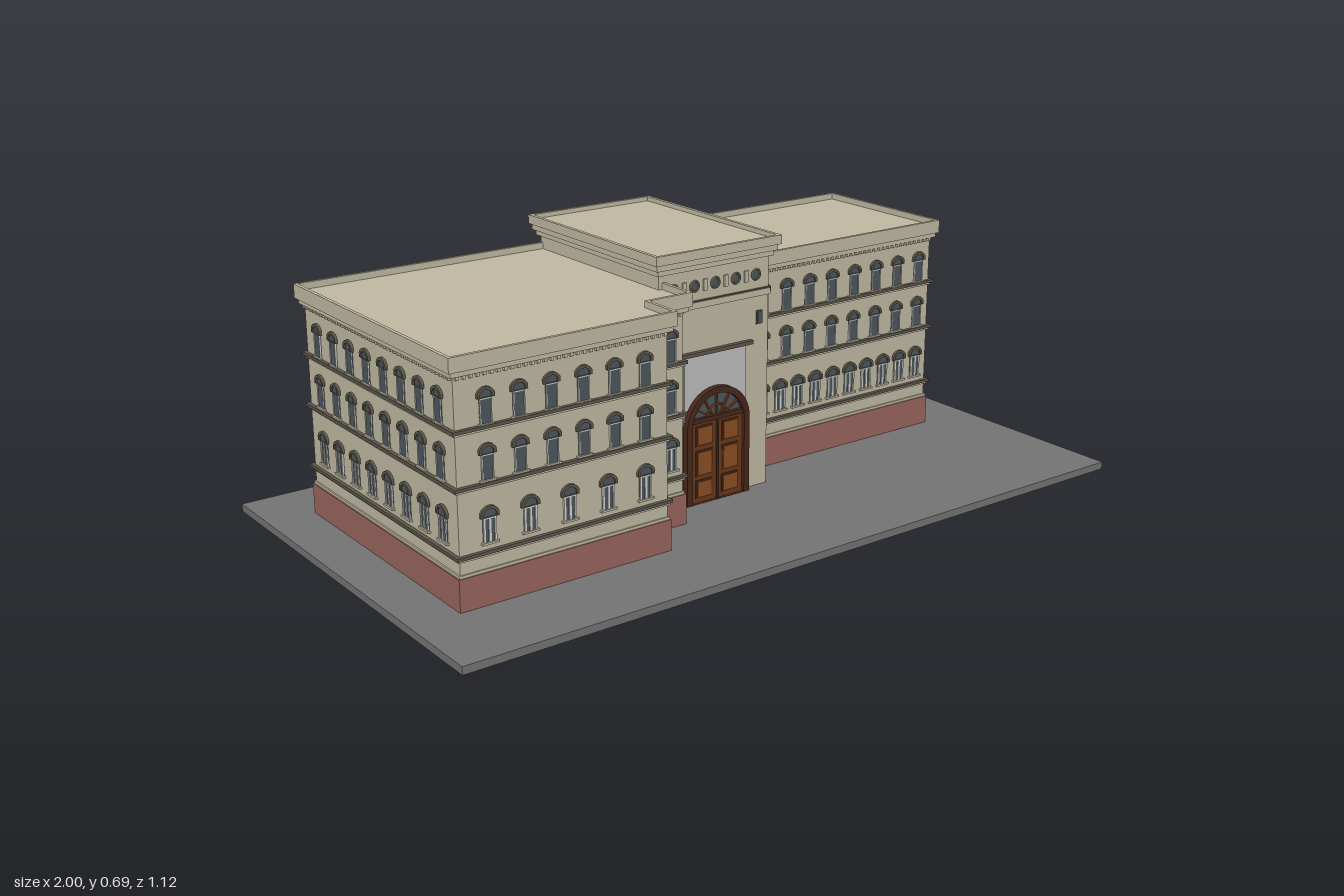
import * as THREE from 'three';
import { mergeGeometries } from 'three/addons/utils/BufferGeometryUtils.js';

const mat = (name, color) => Object.assign(new THREE.MeshStandardMaterial({ color }), { name });

export function createModel() {
  const M = {
    stone: mat('stone', 0xbfb7a0), brick: mat('base red', 0x96655c), paving: mat('paving', 0x737373),
    trim: mat('dark trim', 0x5c564a), glass: mat('window glass', 0x4b565c), frame: mat('window frame', 0xd0d0cc),
    panel: mat('pale panel', 0xbcbcbc), wood: mat('door wood', 0x6a3818), woodLight: mat('door panel', 0x8a4d24),
    woodDark: mat('door frame', 0x482719),
  };
  const root = new THREE.Group();
  root.name = 'building';

  const add = (parent, name, geo, material, x = 0, y = 0, z = 0) => {
    const m = new THREE.Mesh(geo, material);
    m.name = name;
    m.position.set(x, y, z);
    parent.add(m);
    return m;
  };
  const box = (parent, name, material, w, h, d, x, y, z) =>
    add(parent, name, new THREE.BoxGeometry(w, h, d), material, x, y, z);
  const extrude = (shape, depth, curveSegments = 8) =>
    new THREE.ExtrudeGeometry(shape, { depth, bevelEnabled: false, curveSegments });

  // Outward offset of a right-angled footprint, listed front-left to front-right and round
  const edgeNormal = (a, b) => {
    const l = Math.hypot(b[0] - a[0], b[1] - a[1]);
    return [-(b[1] - a[1]) / l, (b[0] - a[0]) / l];
  };
  const offset = (poly, d) => poly.map((p, i) => {
    const n = poly.length;
    const u = edgeNormal(poly[(i + n - 1) % n], p), v = edgeNormal(p, poly[(i + 1) % n]);
    return [p[0] + (u[0] + v[0]) * d, p[1] + (u[1] + v[1]) * d];
  });
  const points = (poly) => poly.map(([x, z]) => new THREE.Vector2(x, -z));
  const slab = (parent, name, material, poly, out, y0, y1, inner = null) => {
    const s = new THREE.Shape(points(offset(poly, out)));
    if (inner !== null) s.holes.push(new THREE.Path(points(offset(poly, inner))));
    return add(parent, name, extrude(s, y1 - y0).rotateX(-Math.PI / 2), material, 0, y0, 0);
  };

  // Upright shape with a round or segmental arched top, standing on y = 0
  const arch = (w, h, rise, y0 = 0, Kind = THREE.Shape) => {
    const r = (w * w / 4 + rise * rise) / (2 * rise), cy = h - r;
    const a = Math.atan2(h - rise - cy, w / 2);
    const s = new Kind();
    s.moveTo(-w / 2, y0);
    s.lineTo(w / 2, y0);
    s.lineTo(w / 2, h - rise);
    s.absarc(0, cy, r, a, Math.PI - a, false);
    s.lineTo(-w / 2, y0);
    return s;
  };

  // Window geometries shared by every opening
  const hood = (w, h, rise) => {
    const s = arch(w + 0.014, h + 0.007, rise + 0.004, h - rise - 0.008);
    s.holes.push(arch(w, h, rise, h - rise - 0.0075, THREE.Path));
    return extrude(s, 0.007);
  };
  const bar = (w, h, x, y) => new THREE.BoxGeometry(w, h, 0.005).translate(x, y, 0.0025);
  const kinds = {
    upper: {
      glass: extrude(arch(0.03, 0.078, 0.01), 0.003), hood: hood(0.03, 0.078, 0.01),
      frame: mergeGeometries([bar(0.03, 0.003, 0, 0.058), bar(0.002, 0.058, -0.014, 0.029), bar(0.002, 0.058, 0.014, 0.029)]),
      sill: new THREE.BoxGeometry(0.042, 0.004, 0.01),
    },
    lower: {
      glass: extrude(arch(0.034, 0.08, 0.012), 0.003), hood: hood(0.034, 0.08, 0.012),
      frame: mergeGeometries([bar(0.034, 0.004, 0, 0.058), bar(0.005, 0.058, -0.0145, 0.029),
        bar(0.005, 0.058, 0.0145, 0.029), bar(0.006, 0.058, 0, 0.029)]),
      sill: new THREE.BoxGeometry(0.044, 0.005, 0.01),
    },
  };
  const windowAt = (parent, kind, x, y, z, angle) => {
    const g = new THREE.Group(), k = kinds[kind];
    g.name = kind + 'Window';
    add(g, 'glass', k.glass, M.glass);
    add(g, 'frame', k.frame, M.frame);
    add(g, 'hood', k.hood, M.trim);
    add(g, 'sill', k.sill, M.stone, 0, -0.002, 0.003);
    g.position.set(x, y, z);
    g.rotation.y = angle;
    parent.add(g);
  };
  // Three storeys of windows between two wall points
  const windows = (parent, a, b, nUpper, nLower, angle) => {
    for (const [kind, y, n] of [['lower', 0.17, nLower], ['upper', 0.319, nUpper], ['upper', 0.449, nUpper]])
      for (let i = 0; i < n; i++) {
        const t = n > 1 ? i / (n - 1) : 0.5;
        windowAt(parent, kind, a[0] + (b[0] - a[0]) * t, y, a[1] + (b[1] - a[1]) * t, angle);
      }
  };

  // Small blocks under the cornice, all round a footprint
  const dentils = (parent, poly, y) => {
    const list = [];
    poly.forEach((a, i) => {
      const b = poly[(i + 1) % poly.length], nrm = edgeNormal(a, b);
      const len = Math.hypot(b[0] - a[0], b[1] - a[1]), n = Math.round(len / 0.017);
      for (let k = 0; k < n; k++) {
        const t = (k + 0.5) / n;
        list.push(new THREE.BoxGeometry(0.008, 0.01, 0.008).translate(
          a[0] + (b[0] - a[0]) * t + nrm[0] * 0.004, y, a[1] + (b[1] - a[1]) * t + nrm[1] * 0.004));
      }
    });
    add(parent, 'dentils', mergeGeometries(list), M.stone);
  };

  const wing = (name, poly) => {
    const g = new THREE.Group();
    g.name = name;
    root.add(g);
    slab(g, 'walls', M.stone, poly, 0, 0.02, 0.57);
    slab(g, 'base', M.brick, poly, 0.007, 0.02, 0.1);
    slab(g, 'baseCap', M.stone, poly, 0.004, 0.1, 0.107);
    for (const y of [0.148, 0.31, 0.443]) {
      slab(g, 'ledge', M.trim, poly, 0.01, y - 0.004, y + 0.004);
      slab(g, 'ledgeMoulding', M.stone, poly, 0.005, y - 0.01, y - 0.004);
    }
    dentils(g, poly, 0.566);
    slab(g, 'corniceLower', M.stone, poly, 0.011, 0.57, 0.583);
    slab(g, 'cornice', M.stone, poly, 0.018, 0.583, 0.602);
    slab(g, 'parapet', M.stone, poly, 0.018, 0.602, 0.619, 0.009);
    return g;
  };

  // Ground
  box(root, 'ground', M.paving, 2, 0.02, 1.12, 0, 0.01, 0);

  // Model's left wing
  const PI = Math.PI;
  const east = wing('leftWing', [[0.165, 0.027], [0.837, 0.027], [0.837, -0.389], [0.165, -0.389]]);
  windows(east, [0.235, 0.027], [0.795, 0.027], 8, 10, 0);
  windows(east, [0.235, -0.389], [0.795, -0.389], 8, 10, PI);
  windows(east, [0.837, -0.063], [0.837, -0.298], 4, 4, PI / 2);

  // Model's right wing, stepped at the front
  const west = wing('rightWing',
    [[-0.868, 0.33], [-0.3, 0.33], [-0.3, 0.22], [-0.173, 0.22], [-0.173, -0.389], [-0.868, -0.389]]);
  windows(west, [-0.79, 0.33], [-0.365, 0.33], 6, 5, 0);
  windows(west, [-0.26, 0.22], [-0.21, 0.22], 2, 2, 0);
  windows(west, [-0.3, 0.277], [-0.3, 0.277], 1, 1, PI / 2);
  windows(west, [-0.173, 0.173], [-0.173, 0.173], 1, 1, PI / 2);
  windows(west, [-0.8, -0.389], [-0.25, -0.389], 7, 5, PI);
  windows(west, [-0.868, -0.325], [-0.868, 0.265], 8, 8, -PI / 2);

  // Central tower
  const tower = new THREE.Group();
  tower.name = 'tower';
  root.add(tower);
  const tp = [[-0.174, 0.125], [0.172, 0.125], [0.172, -0.408], [-0.174, -0.408]];
  slab(tower, 'towerWalls', M.stone, tp, 0, 0.02, 0.65);
  slab(tower, 'towerCorniceLower', M.stone, tp, 0.009, 0.638, 0.652);
  slab(tower, 'towerCorniceMiddle', M.stone, tp, 0.016, 0.652, 0.668);
  slab(tower, 'towerCornice', M.stone, tp, 0.023, 0.668, 0.68);
  slab(tower, 'towerParapet', M.stone, tp, 0.023, 0.68, 0.692, 0.013);
  box(tower, 'friezeBand', M.stone, 0.35, 0.016, 0.012, -0.001, 0.545, 0.125);
  box(tower, 'friezeBandCap', M.trim, 0.35, 0.004, 0.014, -0.001, 0.555, 0.125);
  for (let i = -2; i <= 2; i++) {
    add(tower, 'roundel', new THREE.TorusGeometry(0.013, 0.003, 6, 20), M.trim, i * 0.065, 0.594, 0.126);
    add(tower, 'roundelGlass', new THREE.CircleGeometry(0.011, 20), M.glass, i * 0.065, 0.594, 0.1265);
    if (i < 2) box(tower, 'friezeBlock', M.stone, 0.012, 0.03, 0.008, i * 0.065 + 0.0325, 0.594, 0.126);
  }
  for (const s of [-1, 1]) {
    box(tower, 'slotFrame', M.trim, 0.02, 0.036, 0.004, s * 0.142, 0.48, 0.126);
    box(tower, 'slotWindow', M.glass, 0.013, 0.028, 0.008, s * 0.142, 0.48, 0.126);
  }

  // Entrance
  const door = new THREE.Group();
  door.name = 'entrance';
  door.position.z = 0.125;
  root.add(door);
  box(door, 'palePanel', M.panel, 0.196, 0.195, 0.004, 0, 0.3175, 0.001);
  box(door, 'lintel', M.trim, 0.23, 0.01, 0.018, 0, 0.42, 0.004);
  const ring = arch(0.2, 0.305, 0.1);
  ring.holes.push(arch(0.166, 0.288, 0.083, 0.0005, THREE.Path));
  add(door, 'doorFrame', extrude(ring, 0.019, 20), M.woodDark, 0, 0.02, 0);
  add(door, 'fanlight', extrude(arch(0.17, 0.29, 0.085), 0.005, 20), M.glass, 0, 0.02, 0);
  box(door, 'transom', M.woodDark, 0.168, 0.012, 0.016, 0, 0.243, 0.008);
  for (let i = 1; i < 6; i++) {
    const a = i * PI / 6;
    box(door, 'fanlightBar', M.wood, 0.055, 0.005, 0.01,
      Math.cos(a) * 0.055, 0.245 + Math.sin(a) * 0.035, 0.006).rotation.z = a;
  }
  add(door, 'fanlightArc', new THREE.TorusGeometry(0.03, 0.003, 6, 16, PI), M.wood, 0, 0.247, 0.009);
  for (const s of [-1, 1]) {
    box(door, 'doorLeaf', M.wood, 0.08, 0.217, 0.01, s * 0.0415, 0.1285, 0.006);
    for (const [y, h] of [[0.058, 0.05], [0.128, 0.07], [0.202, 0.055]]) {
      box(door, 'doorPanelGroove', M.woodDark, 0.054, h, 0.002, s * 0.0415, y, 0.0115);
      box(door, 'doorPanel', M.woodLight, 0.044, h - 0.01, 0.004, s * 0.0415, y, 0.0125);
    }
  }
  box(door, 'meetingBar', M.woodDark, 0.006, 0.217, 0.016, 0, 0.1285, 0.008);

  return root;
}
